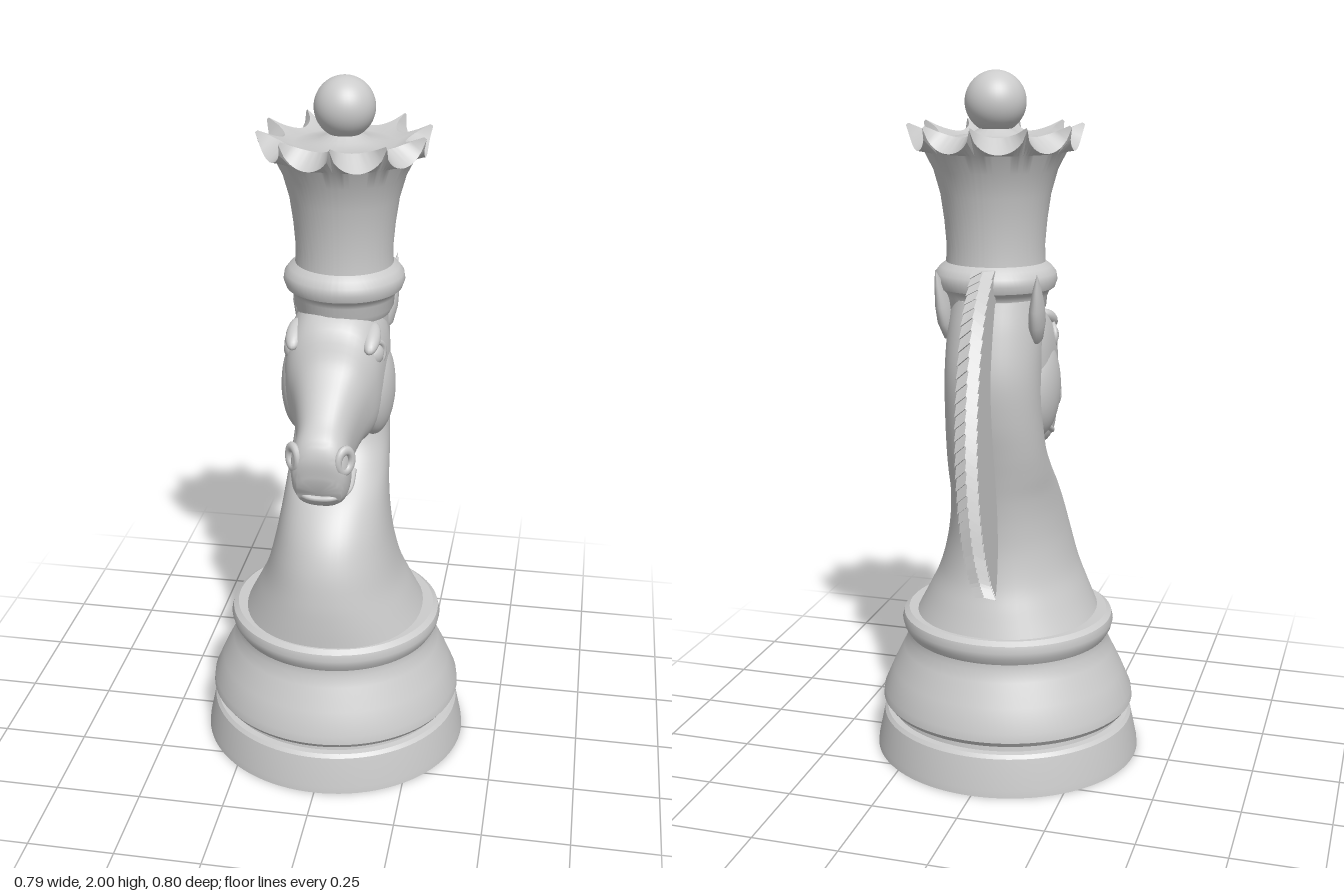
import * as THREE from 'three';
import { toCreasedNormals } from 'three/addons/utils/BufferGeometryUtils.js';

const grey = new THREE.MeshStandardMaterial({ color: 0xcccccc });
const greyThin = new THREE.MeshStandardMaterial({ color: 0xcccccc, side: THREE.DoubleSide });
const V3 = (x, y, z) => new THREE.Vector3(x, y, z);

function add(group, name, geometry, material = grey) {
  const mesh = new THREE.Mesh(geometry, material);
  mesh.name = name;
  group.add(mesh);
  return mesh;
}

function lathe(points, segments) {
  return new THREE.LatheGeometry(points.map(([r, y]) => new THREE.Vector2(r, y)), segments);
}

// Smooth closed skin through sections [z1, y1, z2, y2, halfWidth]:
// each section is a superellipse between its two edge points.
function loft(sections, rows, cols, power) {
  const edgeA = new THREE.CatmullRomCurve3(sections.map(s => V3(s[4], s[1], s[0])));
  const edgeB = new THREE.CatmullRomCurve3(sections.map(s => V3(0, s[3], s[2])));
  const pos = [], index = [];
  const bulge = v => Math.sign(v) * Math.abs(v) ** (2 / power);
  for (let i = 0; i <= rows; i++) {
    const a = edgeA.getPoint(i / rows), b = edgeB.getPoint(i / rows);
    for (let j = 0; j < cols; j++) {
      const t = j / cols * Math.PI * 2, c = bulge(Math.cos(t));
      pos.push(a.x * bulge(Math.sin(t)),
        (a.y + b.y) / 2 + (a.y - b.y) / 2 * c,
        (a.z + b.z) / 2 + (a.z - b.z) / 2 * c);
      if (i < rows) {
        const k = (j + 1) % cols, p = i * cols, q = p + cols;
        index.push(p + j, p + k, q + k, p + j, q + k, q + j);
      }
    }
  }
  // End caps
  for (const i of [0, rows]) {
    const a = edgeA.getPoint(i / rows), b = edgeB.getPoint(i / rows);
    const centre = pos.length / 3;
    pos.push(0, (a.y + b.y) / 2, (a.z + b.z) / 2);
    for (let j = 0; j < cols; j++) {
      const p = i * cols + j, q = i * cols + (j + 1) % cols;
      index.push(centre, ...(i ? [p, q] : [q, p]));
    }
  }
  const g = new THREE.BufferGeometry();
  g.setAttribute('position', new THREE.Float32BufferAttribute(pos, 3));
  g.setIndex(index);
  g.computeVertexNormals();
  return toCreasedNormals(g, 0.9);
}

// Crown with ten scoops cut out of its flared rim
function crownGeometry() {
  const profile = [[0.13, 1.34], [0.14, 1.36], [0.143, 1.39], [0.15, 1.405], [0.164, 1.415], [0.171, 1.435],
    [0.168, 1.455], [0.155, 1.472], [0.138, 1.485], [0.136, 1.53], [0.142, 1.6], [0.152, 1.67],
    [0.17, 1.735], [0.195, 1.785], [0.243, 1.855], [0.236, 1.86], [0.14, 1.82], [0.07, 1.83], [0.045, 1.845], [0.035, 1.87]];
  const g = lathe(profile, 160), pos = g.attributes.position, n = profile.length;
  for (let i = 0; i < pos.count; i++) {
    const segment = Math.floor(i / n), row = i % n;
    const u = (segment % 16) / 8 - 1, scoop = Math.sqrt(1 - u * u);
    let r = profile[row][0], y = profile[row][1];
    if (row === 14) { r -= 0.02 * scoop; y -= 0.065 * scoop; }   // outer rim
    if (row === 15) { r -= 0.07 * scoop; y -= 0.03 * scoop; }    // inner rim
    const t = segment / 160 * Math.PI * 2;
    pos.setXYZ(i, r * Math.sin(t), y, r * Math.cos(t));
  }
  return toCreasedNormals(g, 0.6);
}

// Curved crest with stepped chevron ridges down the back
function maneGeometry() {
  const outer = new THREE.CatmullRomCurve3([[1.48, -0.228], [1.37, -0.315], [1.2, -0.372], [1.03, -0.39],
    [0.85, -0.37], [0.7, -0.32], [0.6, -0.262], [0.54, -0.215]].map(([y, z]) => V3(0, y, z)));
  const inner = new THREE.CatmullRomCurve3([[1.46, -0.19], [1.36, -0.2], [1.2, -0.22], [1.03, -0.21],
    [0.85, -0.18], [0.7, -0.16], [0.6, -0.17], [0.55, -0.19]].map(([y, z]) => V3(0, y, z)));
  const teeth = 36, w = 0.031, pos = [], index = [];
  for (let i = 0; i < teeth * 2; i++) {
    const t = (Math.floor(i / 2) + (i % 2 ? 0.93 : 0)) / teeth;
    const lift = i % 2 ? 0.01 : -0.006;
    const side = outer.getPoint(t), mid = outer.getPoint(Math.max(0, t - 0.022)), root = inner.getPoint(t);
    pos.push(-w, root.y, root.z, -w, side.y, side.z - lift, 0, mid.y, mid.z - lift - 0.004,
      w, side.y, side.z - lift, w, root.y, root.z);
    if (i) for (let j = 0; j < 4; j++) {
      const p = (i - 1) * 5 + j, q = p + 5;
      index.push(p, q, q + 1, p, q + 1, p + 1);
    }
  }
  const last = (teeth * 2 - 1) * 5;
  for (const j of [1, 2, 3]) index.push(0, j, j + 1, last, last + j + 1, last + j);
  const g = new THREE.BufferGeometry();
  g.setAttribute('position', new THREE.Float32BufferAttribute(pos, 3));
  g.setIndex(index);
  return toCreasedNormals(g, 0.3);
}

export function createModel() {
  const model = new THREE.Group();
  model.name = 'chessPiece';

  // Turned base with a hollow underside
  const base = add(model, 'base', toCreasedNormals(lathe([[0, 0.3], [0.26, 0.3], [0.26, 0], [0.395, 0], [0.393, 0.02],
    [0.374, 0.11], [0.365, 0.12], [0.347, 0.122], [0.345, 0.137], [0.365, 0.145], [0.376, 0.16], [0.373, 0.185],
    [0.345, 0.25], [0.313, 0.315], [0.299, 0.345], [0.298, 0.365], [0.31, 0.385], [0.315, 0.405],
    [0.31, 0.425], [0.295, 0.436], [0.265, 0.436], [0, 0.436]], 96), 0.5));
  base.scale.z = 0.968;
  base.position.z = 0.013;

  // Chest and neck: front edge, back edge, half width
  add(model, 'neck', loft([[0.293, 0.42, -0.265, 0.42, 0.272], [0.292, 0.5, -0.238, 0.5, 0.232],
    [0.287, 0.57, -0.215, 0.57, 0.2], [0.27, 0.66, -0.202, 0.66, 0.175], [0.235, 0.74, -0.203, 0.74, 0.16],
    [0.17, 0.82, -0.212, 0.82, 0.15], [0.085, 0.89, -0.225, 0.89, 0.145], [0.025, 0.96, -0.24, 0.96, 0.14],
    [0, 1.06, -0.26, 1.06, 0.136], [0, 1.18, -0.27, 1.18, 0.134], [0.03, 1.3, -0.25, 1.3, 0.132],
    [0.05, 1.39, -0.225, 1.39, 0.125]], 55, 48, 2.15));

  // Head from muzzle to skull: top edge, bottom edge, half width
  add(model, 'head', loft([[0.312, 0.98, 0.268, 0.885, 0.062], [0.317, 1.045, 0.235, 0.874, 0.078],
    [0.3, 1.09, 0.2, 0.886, 0.083], [0.25, 1.135, 0.155, 0.918, 0.078], [0.2, 1.185, 0.12, 0.945, 0.088],
    [0.14, 1.25, 0.085, 0.965, 0.108], [0.09, 1.345, 0.04, 0.966, 0.135], [0.02, 1.385, -0.02, 0.97, 0.145],
    [-0.1, 1.395, -0.08, 1.0, 0.142], [-0.18, 1.37, -0.13, 1.06, 0.11]], 50, 40, 2.5));

  // Lips
  const mouth = new THREE.CatmullRomCurve3([V3(-0.078, 0.955, 0.17), V3(-0.074, 0.925, 0.24), V3(-0.04, 0.918, 0.28),
    V3(0, 0.915, 0.285), V3(0.04, 0.918, 0.28), V3(0.074, 0.925, 0.24), V3(0.078, 0.955, 0.17)]);
  add(model, 'lips', new THREE.TubeGeometry(mouth, 32, 0.009, 8));

  // Paired features of the head
  for (const side of [1, -1]) {
    const name = side > 0 ? 'left' : 'right';

    const cheek = add(model, name + 'Cheek', new THREE.SphereGeometry(1, 32, 24));
    cheek.scale.set(0.06, 0.145, 0.105);
    cheek.position.set(side * 0.104, 1.125, -0.035);

    const eye = new THREE.Group();
    eye.name = name + 'Eye';
    const ball = add(eye, 'eyeball', new THREE.SphereGeometry(0.031, 20, 16));
    ball.scale.z = 0.7;
    const lid = add(eye, 'eyelid', new THREE.TorusGeometry(0.035, 0.009, 8, 28));
    lid.scale.x = 1.15;
    eye.position.set(side * 0.117, 1.258, 0.055);
    eye.rotation.y = side * 1.05;
    model.add(eye);

    const brow = add(model, name + 'Brow', new THREE.SphereGeometry(1, 20, 14));
    brow.scale.set(0.025, 0.022, 0.06);
    brow.position.set(side * 0.108, 1.305, 0.055);
    brow.rotation.x = 0.45;

    const nostril = add(model, name + 'Nostril', new THREE.TorusGeometry(0.024, 0.011, 10, 24));
    nostril.scale.y = 1.3;
    nostril.position.set(side * 0.071, 1.035, 0.283);
    nostril.rotation.y = side * 0.85;

    // Flattened pointed ear leaning back
    const ear = add(model, name + 'Ear', lathe([[0.004, -0.02], [0.03, 0], [0.042, 0.05], [0.036, 0.1], [0.018, 0.16], [0, 0.2]], 20));
    ear.scale.x = 0.55;
    ear.position.set(side * 0.125, 1.285, -0.135);
    ear.rotation.set(-0.36, 0, -side * 0.09);
  }

  add(model, 'mane', maneGeometry(), greyThin);

  // Crown with collar and finial
  const crown = new THREE.Group();
  crown.name = 'crown';
  add(crown, 'crownBody', crownGeometry());
  add(crown, 'finial', new THREE.SphereGeometry(0.084, 40, 28)).position.y = 1.916;
  crown.position.set(0.01, 0, -0.073);
  model.add(crown);

  return model;
}
